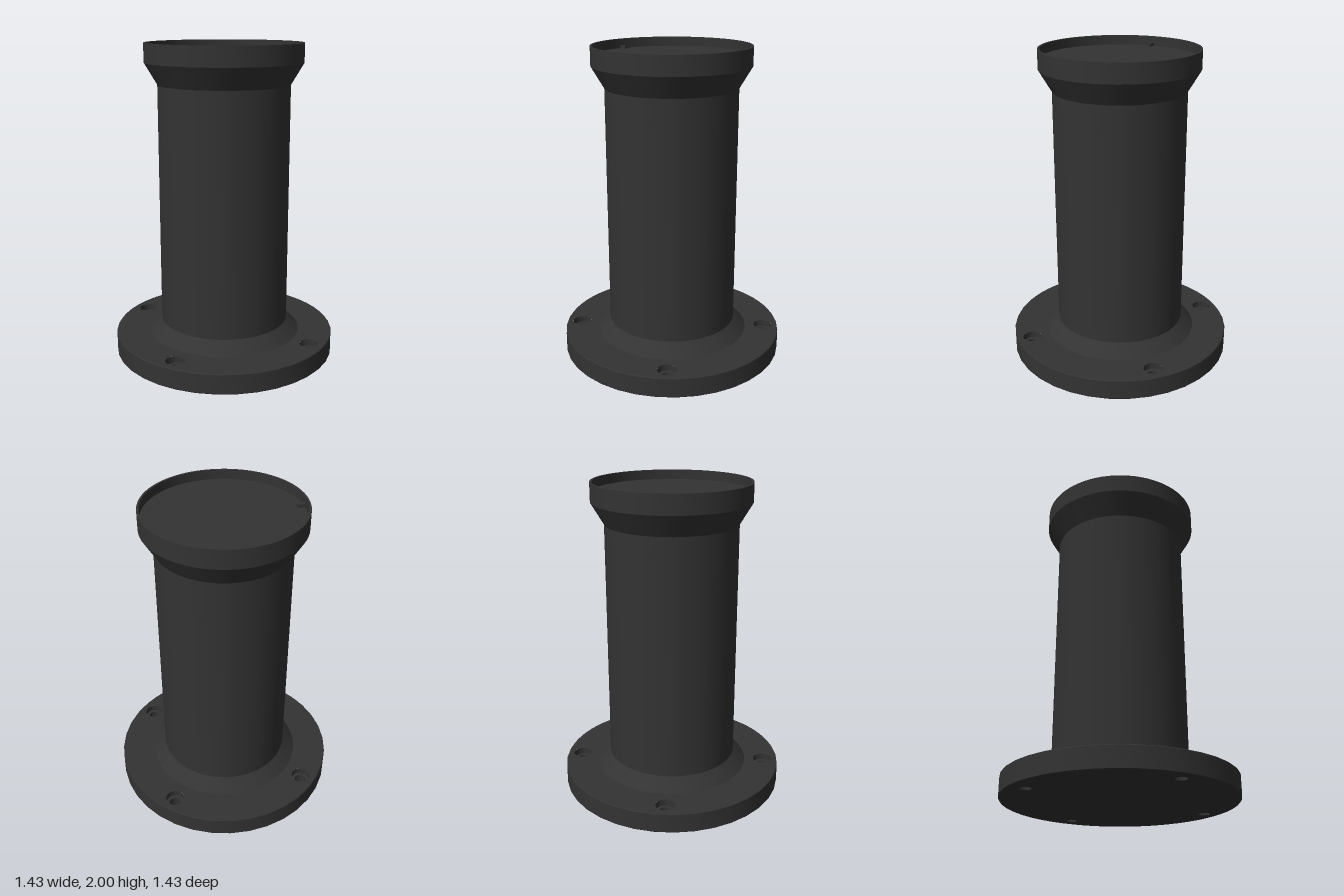
import * as THREE from 'three';
import { toCreasedNormals } from 'three/addons/utils/BufferGeometryUtils.js';

const FLANGE_R = 0.715, FLANGE_TOP = 0.132, CHAMFER = 0.005;
const BOLT = 0.435, BOLT_R = 0.037, SINK_R = 0.06, SINK_Y = 0.09;

const material = new THREE.MeshStandardMaterial({ color: 0x333333 });

function addMesh(parent, name, geometry) {
  const mesh = new THREE.Mesh(geometry, material);
  mesh.name = name;
  parent.add(mesh);
  return mesh;
}

// Turned part with crisp profile corners and smooth roundness
function turned(profile, segments) {
  const points = profile.map(([r, y]) => new THREE.Vector2(r, y));
  return toCreasedNormals(new THREE.LatheGeometry(points, segments), 0.4);
}

// Flat disc with four bolt holes and an optional centre hole
function drilledDisc(radius, holeRadius, centreRadius) {
  const shape = new THREE.Shape().absarc(0, 0, radius, 0, Math.PI * 2);
  const cut = (x, y, r) => shape.holes.push(new THREE.Path().absarc(x, y, r, 0, Math.PI * 2, true));
  for (const x of [-BOLT, BOLT]) for (const y of [-BOLT, BOLT]) cut(x, y, holeRadius);
  if (centreRadius) cut(0, 0, centreRadius);
  return new THREE.ShapeGeometry(shape, 36);
}

export function createModel() {
  const model = new THREE.Group();
  model.name = 'flangedPost';

  // Base flange: chamfered rim, top and bottom faces, counterbored bolt holes
  const flange = new THREE.Group();
  flange.name = 'baseFlange';
  model.add(flange);
  const faceR = FLANGE_R - CHAMFER;
  addMesh(flange, 'flangeRim', turned([
    [faceR, 0], [FLANGE_R, CHAMFER], [FLANGE_R, FLANGE_TOP - CHAMFER], [faceR, FLANGE_TOP],
  ], 36));
  addMesh(flange, 'flangeTop', drilledDisc(faceR, SINK_R, 0.48)
    .rotateX(-Math.PI / 2).translate(0, FLANGE_TOP, 0));
  addMesh(flange, 'flangeBottom', drilledDisc(faceR, BOLT_R).rotateX(Math.PI / 2));
  const boltHole = turned([
    [SINK_R, FLANGE_TOP], [SINK_R, SINK_Y], [BOLT_R, SINK_Y], [BOLT_R, 0],
  ], 36);
  for (const x of [-BOLT, BOLT]) {
    for (const z of [-BOLT, BOLT]) addMesh(flange, 'boltHole', boltHole).position.set(x, 0, z);
  }

  // Column with a sloped foot, flared head and recessed top
  addMesh(model, 'column', turned([
    [0.495, FLANGE_TOP], [0.415, 0.212], [0.415, 1.745], [0.495, 1.88],
    [0.495, 2], [0.482, 2], [0.482, 1.94], [0, 1.94],
  ], 72));

  // Small locating key inside the recess
  addMesh(model, 'locatingKey', new THREE.BoxGeometry(0.048, 0.02, 0.026)).position.set(-0.462, 1.949, 0);

  return model;
}
